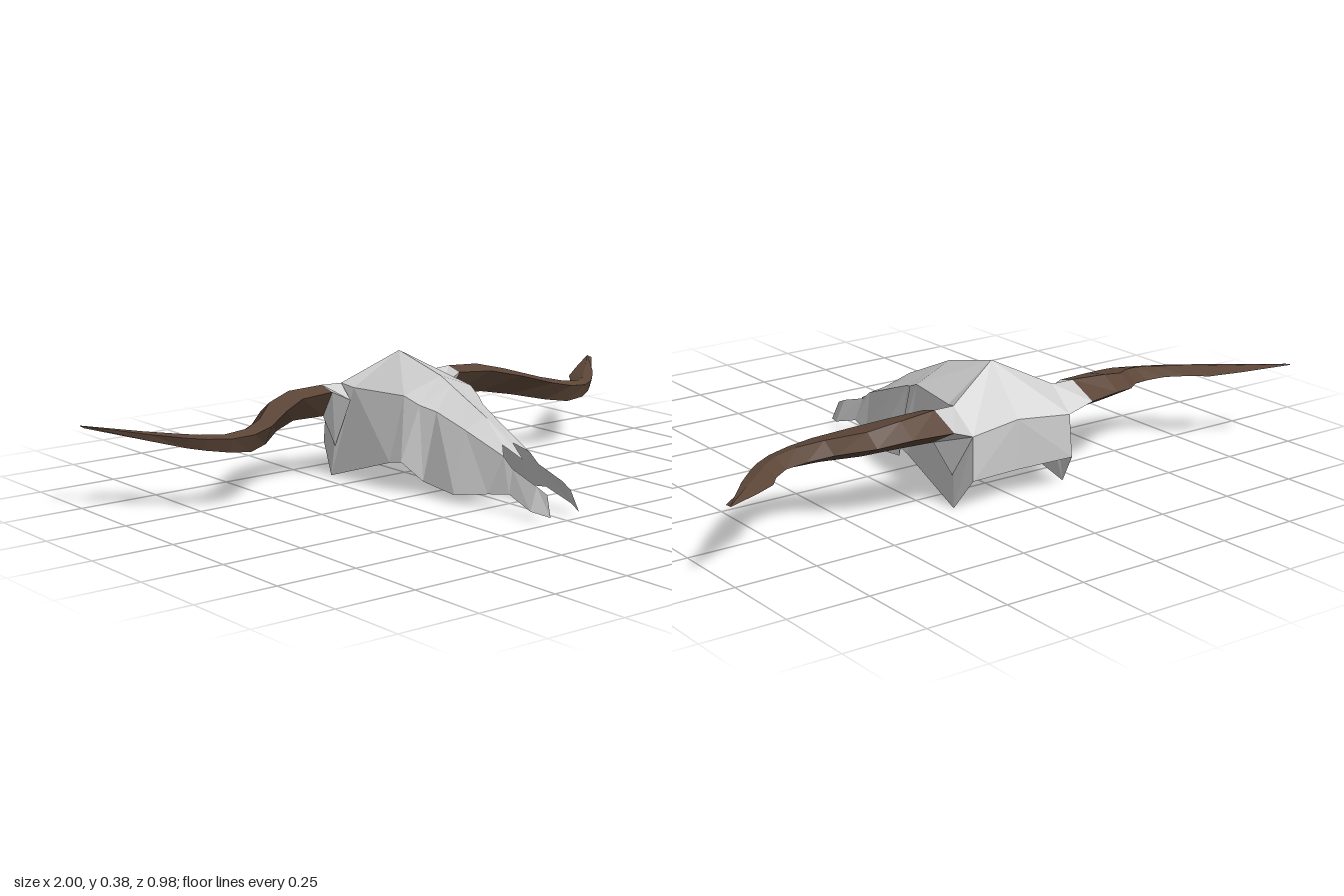
import * as THREE from 'three';

const bone = new THREE.MeshStandardMaterial({ color: 0xcccccc, flatShading: true, side: THREE.DoubleSide });
const hornBrown = new THREE.MeshStandardMaterial({ color: 0x5c4638, flatShading: true, side: THREE.DoubleSide });

// Triangles spanning two polylines that have the same number of points
function strip(p, q) {
  const tris = [];
  for (let i = 0; i < p.length - 1; i++) {
    tris.push([p[i], p[i + 1], q[i + 1]], [p[i], q[i + 1], q[i]]);
  }
  return tris;
}

// Skin over closed cross-sections
function skin(sections) {
  const n = sections[0].length, tris = [];
  for (let k = 0; k < n; k++) {
    tris.push(...strip(sections.map(s => s[k]), sections.map(s => s[(k + 1) % n])));
  }
  return tris;
}

// Faceted mesh; side = -1 mirrors it across x and keeps the faces outward
function facets(name, tris, material, side) {
  const pos = [];
  for (const [a, b, c] of tris) {
    for (const [x, y, z] of side > 0 ? [a, b, c] : [a, c, b]) pos.push(x * side, y, z);
  }
  const geo = new THREE.BufferGeometry();
  geo.setAttribute('position', new THREE.Float32BufferAttribute(pos, 3));
  geo.computeVertexNormals();
  const mesh = new THREE.Mesh(geo, material);
  mesh.name = name;
  return mesh;
}

// Skull outlines for the +x half, running from the poll to the muzzle
const ridge = [[0, .385, -.275], [0, .335, -.07], [0, .313, -.02], [0, .291, .03], [0, .245, .135]];
const crease = [[.165, .285, -.29], [.13, .287, -.085], [.115, .265, -.03], [.09, .25, .02], [.07, .21, .13],
  [.05, .155, .28], [.05, .125, .32], [.05, .093, .425], [.045, .075, .465]];
const jaw = [[.2, 0, -.365], [.175, .085, -.1], [.17, .095, -.05], [.13, .04, .005], [.125, .025, .145],
  [.085, .042, .25], [.072, .055, .33], [.078, .025, .43], [.055, .015, .49]];

// Horn stations: x, front z, crease z, back z, top y, bottom y
const hornStations = [
  [.25, -.285, -.34, -.435, .297, .2],
  [.37, -.27, -.345, -.408, .288, .2],
  [.46, -.225, -.315, -.365, .266, .185],
  [.55, -.17, -.235, -.285, .238, .167],
  [.62, -.155, -.2, -.255, .222, .157],
  [.69, -.168, -.205, -.26, .212, .162],
  [.75, -.205, -.245, -.305, .21, .168],
  [.79, -.24, -.285, -.355, .21, .173],
  [.87, -.325, -.36, -.41, .213, .19],
  [1, -.488, -.49, -.492, .221, .217],
];

// Four-sided horn section: front, top crease, back, bottom
function hornSection([x, zf, zm, zb, yt, yb], lift) {
  const h = yt - yb, up = lift * (x - .25) / .75;
  return [[x, yt - h * .15, zf], [x, yt, zm], [x, yt - h * .45, zb], [x, yb, (zf + zm) / 2 - (.62 - x) * .06]]
    .map(([a, y, z]) => [a, y + up, z]);
}

export function createModel() {
  const model = new THREE.Group();
  model.name = 'hornedSkull';

  for (const side of [1, -1]) {
    const label = side > 0 ? 'left' : 'right';
    const add = (part, tris, material = bone) => model.add(facets(label + part, tris, material, side));

    // Poll corner where roof, back plate and horn core meet
    const poll = [.18, .295, -.335], nape = [.175, .225, -.422], plateCorner = [.18, .095, -.43];

    // Forehead and upper snout
    add('Forehead', [...strip(ridge, crease.slice(0, 5)), [ridge[0], crease[0], poll]]);

    // Nasal bone with its notch
    const notch = [.02, .178, .24], nasalTip = [0, .142, .31];
    add('NasalBone', [
      [ridge[4], nasalTip, notch], [ridge[4], notch, crease[4]], [crease[4], notch, crease[5]],
    ]);

    // Cheek wall running forward into the muzzle prong
    add('Cheek', strip(crease, jaw));

    // Cheek rear, wrapping round to the back plate
    add('CheekRear', [
      [crease[0], jaw[0], poll], [poll, jaw[0], nape], [nape, jaw[0], plateCorner],
    ]);

    // Back of the skull
    add('BackPlate', [
      ...strip([ridge[0], poll], [[0, .238, -.403], nape]),
      ...strip([[0, .238, -.403], nape], [[0, .085, -.4], plateCorner]),
    ]);

    // Bony core between skull and horn
    const sections = hornStations.map(s => hornSection(s, side > 0 ? 0 : .028));
    const root = [[.185, .25, -.28], poll, nape, [.195, .095, -.35]];
    add('HornCore', skin([root, sections[0]]));

    // Horn sweeping forward, then back to a point
    add('Horn', skin(sections), hornBrown);
  }
  return model;
}
